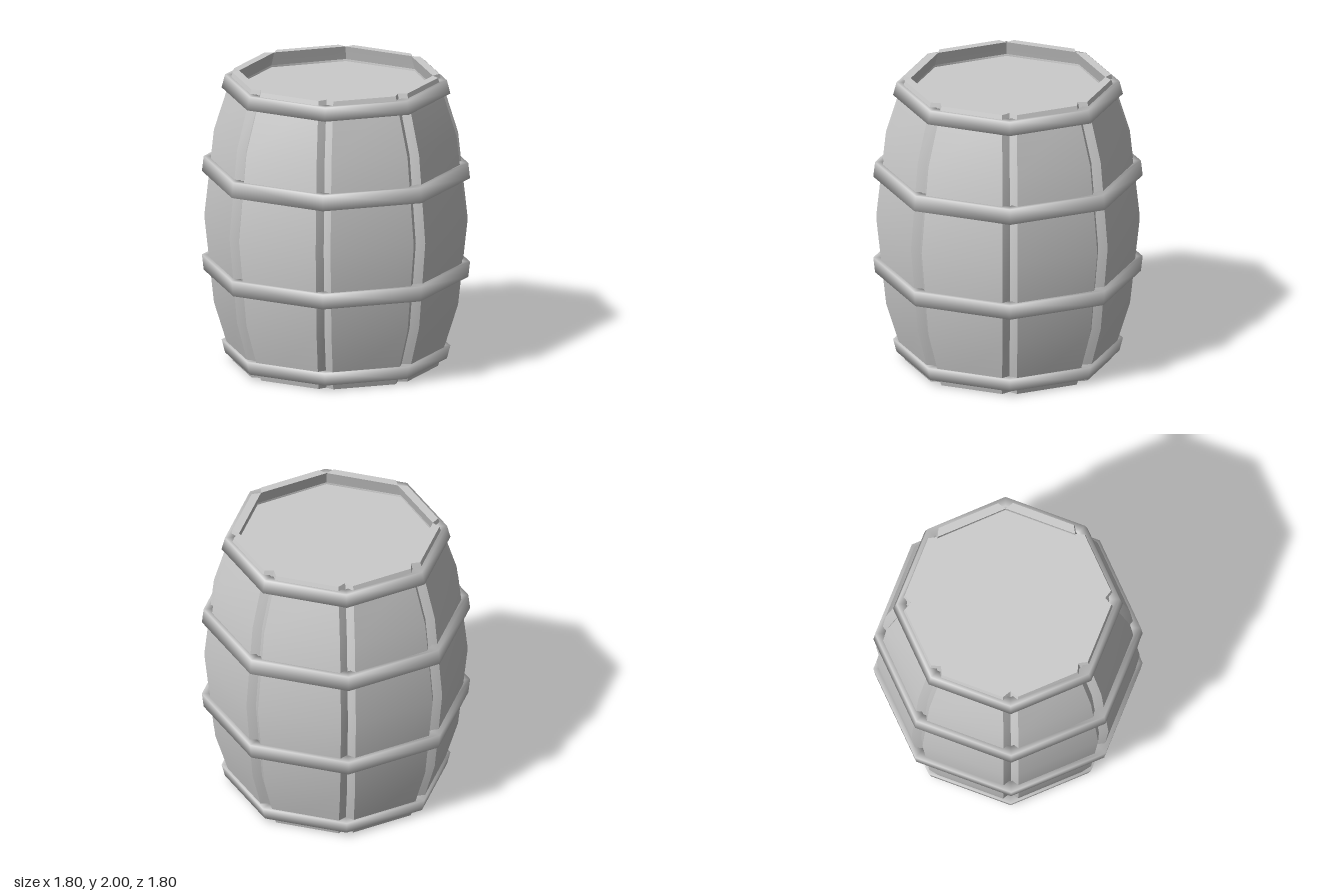
import * as THREE from 'three';
import { toCreasedNormals } from 'three/addons/utils/BufferGeometryUtils.js';

const SIDES = 8;
const STEP = (Math.PI * 2) / SIDES;
// Corner radius of the barrel at each height: [y, radius]
const LEVELS = [[0, 0.71], [0.4, 0.835], [1, 0.9], [1.6, 0.835], [2, 0.71]];
const BEVEL = 0.054; // distance from corner to groove shoulder
const DEPTH = 0.06; // wall thickness at the corners

// One bowed plank: a trapezoid section swept up the levels
function staveGeometry() {
  const pos = [];
  const index = [];
  const corner = (r, a, y) => new THREE.Vector3(Math.sin(a) * r, y, Math.cos(a) * r);
  for (const [y, r] of LEVELS) {
    const a = corner(r, 0, y);
    const b = corner(r, STEP, y);
    const t = BEVEL / a.distanceTo(b);
    const section = [
      corner(r - DEPTH, 0, y),
      a.clone().lerp(b, t),
      b.clone().lerp(a, t),
      corner(r - DEPTH, STEP, y),
    ];
    section.forEach((p) => pos.push(p.x, p.y, p.z));
  }
  for (let j = 0; j < LEVELS.length - 1; j++) {
    for (let i = 0; i < 4; i++) {
      const k = (i + 1) % 4;
      const a = j * 4 + i, b = j * 4 + k, c = b + 4, d = a + 4;
      index.push(a, b, c, a, c, d);
    }
  }
  const top = (LEVELS.length - 1) * 4;
  index.push(0, 2, 1, 0, 3, 2, top, top + 1, top + 2, top, top + 2, top + 3);
  const geo = new THREE.BufferGeometry();
  geo.setAttribute('position', new THREE.Float32BufferAttribute(pos, 3));
  geo.setIndex(index);
  return toCreasedNormals(geo, 0.6);
}

// Octagonal band, softly shaded; rLow and rHigh are the outer corner radii
function hoopGeometry(yLow, yHigh, rLow, rHigh, rIn) {
  const points = [[rIn, yLow], [rLow, yLow], [rHigh, yHigh], [rIn, yHigh], [rIn, yLow]];
  return new THREE.LatheGeometry(points.map(([x, y]) => new THREE.Vector2(x, y)), SIDES);
}

export function createModel() {
  const group = new THREE.Group();
  const smooth = new THREE.MeshStandardMaterial({ color: 0xcccccc });
  const flat = new THREE.MeshStandardMaterial({ color: 0xcccccc, flatShading: true });
  const add = (name, geometry, material = smooth) => {
    const mesh = new THREE.Mesh(geometry, material);
    mesh.name = name;
    group.add(mesh);
    return mesh;
  };

  // Staves
  const stave = staveGeometry();
  for (let i = 0; i < SIDES; i++) add('stave' + (i + 1), stave).rotation.y = i * STEP;

  // Hoops, mirrored top and bottom
  add('topHoop', hoopGeometry(1.88, 1.97, 0.768, 0.745, 0.68));
  add('upperHoop', hoopGeometry(1.295, 1.4, 0.9, 0.888, 0.82));
  add('lowerHoop', hoopGeometry(0.61, 0.715, 0.888, 0.9, 0.82));
  add('bottomHoop', hoopGeometry(0.04, 0.13, 0.745, 0.768, 0.68));

  // Recessed lid and base
  add('lid', new THREE.CylinderGeometry(0.68, 0.68, 0.05, SIDES), flat).position.y = 1.865;
  add('base', new THREE.CylinderGeometry(0.66, 0.66, 0.05, SIDES), flat).position.y = 0.055;

  return group;
}
